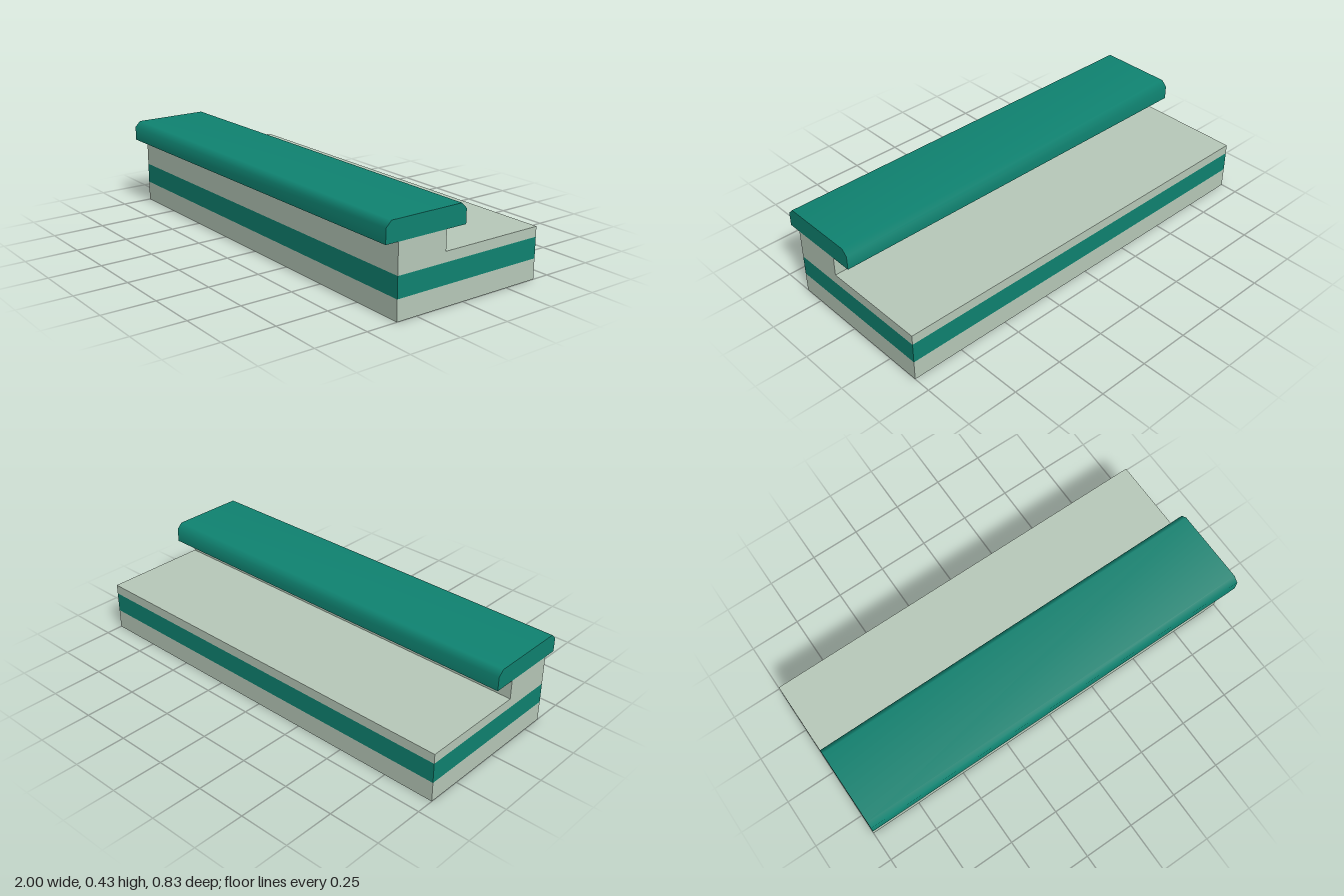
import * as THREE from 'three';
import { mergeGeometries } from 'three/addons/utils/BufferGeometryUtils.js';

const HALF = 1, FRONT = 0.352, BACK = -0.415;

// Surface swept along x through [z, y] points, running from the front over to the back
function sweep(run, smooth) {
  const pos = [], index = [];
  run.forEach(([z, y], i) => {
    pos.push(-HALF, y, z, HALF, y, z);
    const a = 2 * i;
    if (i < run.length - 1) index.push(a, a + 1, a + 3, a, a + 3, a + 2);
  });
  const indexed = new THREE.BufferGeometry();
  indexed.setAttribute('position', new THREE.Float32BufferAttribute(pos, 3));
  indexed.setIndex(index);
  if (smooth) indexed.computeVertexNormals();
  const g = indexed.toNonIndexed();
  if (!smooth) g.computeVertexNormals();
  return g;
}

// Flat end wall at x = side
function endWall(outline, side) {
  const shape = new THREE.Shape(outline.map(([z, y]) => new THREE.Vector2(-side * z, y)));
  const g = new THREE.ShapeGeometry(shape).toNonIndexed();
  g.deleteAttribute('uv');
  return g.rotateY(side * Math.PI / 2).translate(side * HALF, 0, 0);
}

// Open-bottomed shell: swept walls plus both ends
function shell(name, material, runs, smooth = false) {
  const outline = runs.flat();
  const mesh = new THREE.Mesh(mergeGeometries([
    ...runs.map((run) => sweep(run, smooth)),
    endWall(outline, 1),
    endWall(outline, -1),
  ]), material);
  mesh.name = name;
  return mesh;
}

// Front and back wall of one colour band
const band = (y0, y1) => [[[FRONT, y0], [FRONT, y1]], [[BACK, y1], [BACK, y0]]];

export function createModel() {
  const pale = new THREE.MeshStandardMaterial({ color: 0xb7c9b9, side: THREE.DoubleSide });
  pale.name = 'paleSage';
  const teal = new THREE.MeshStandardMaterial({ color: 0x0f8371, side: THREE.DoubleSide });
  teal.name = 'tealGreen';

  const model = new THREE.Group();
  model.name = 'steppedBench';
  model.add(
    shell('lowerBand', pale, band(0, 0.096)),
    shell('stripe', teal, band(0.096, 0.193)),
    // Upper walls, riser and rear ledge, left open beneath the cap
    shell('upperBody', pale, [
      [[FRONT, 0.193], [FRONT, 0.333]],
      [[0.102, 0.333], [0.102, 0.24], [BACK, 0.24], [BACK, 0.193]],
    ]),
    // Overhanging cap with softened long edges, hollow underneath
    shell('cap', teal, [[
      [0.416, 0.333], [0.416, 0.4], [0.389, 0.427],
      [0.025, 0.427], [-0.002, 0.4], [-0.002, 0.333],
    ]], true),
  );
  return model;
}
